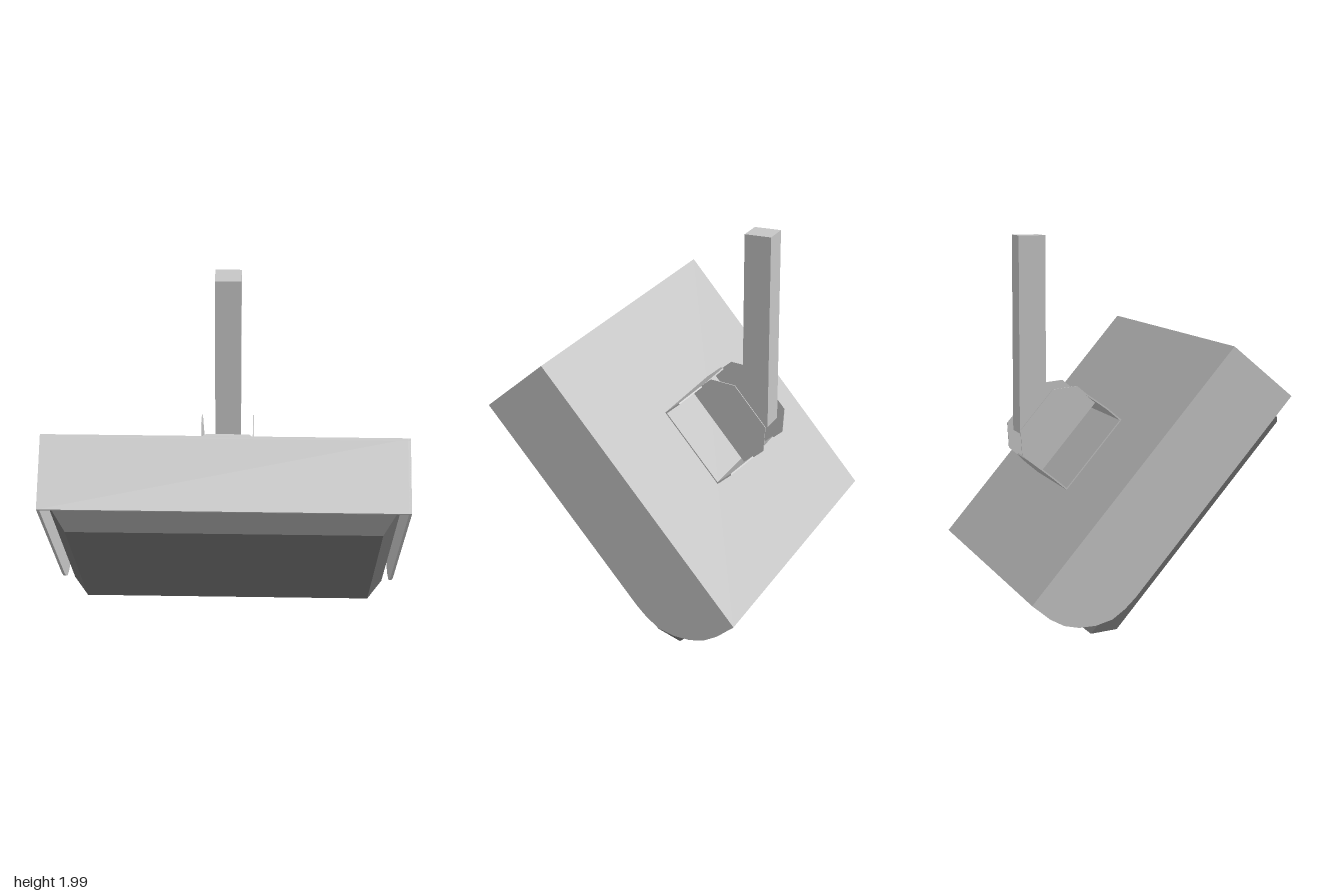
import * as THREE from 'three';

const shellGrey = new THREE.MeshStandardMaterial({ color: 0xc6c6c6 });
shellGrey.name = 'light grey casing';
const bodyGrey = new THREE.MeshStandardMaterial({ color: 0x747474 });
bodyGrey.name = 'dark grey body';

function add(parent, name, geometry, material, x = 0, y = 0, z = 0) {
  const mesh = new THREE.Mesh(geometry, material);
  mesh.name = name;
  mesh.position.set(x, y, z);
  parent.add(mesh);
  return mesh;
}

// Thin plate cut from an outline of [a, b] points, centred on its thickness
function plate(points, thickness) {
  const shape = new THREE.Shape(points.map(([a, b]) => new THREE.Vector2(a, b)));
  return new THREE.ExtrudeGeometry(shape, { depth: thickness, bevelEnabled: false })
    .translate(0, 0, -thickness / 2);
}

// Plate standing in the side plane: outline points are [z, y]
const sidePlate = (points, thickness) => plate(points, thickness).rotateY(-Math.PI / 2);

export function createModel() {
  const model = new THREE.Group();
  model.name = 'tiltedMonitor';

  // Tilted head: origin at its top back edge, y runs up the back, z points out of the screen
  const head = new THREE.Group();
  head.name = 'head';
  head.position.set(0, 1.465, 0.375);
  head.rotation.x = 0.7;
  model.add(head);

  // Casing: back, top and two rounded cheeks, open at the front and bottom
  const W = 0.97, H = 1.654, D = 0.412, T = 0.015;
  add(head, 'backPanel', new THREE.BoxGeometry(2 * W, H, T), shellGrey, 0, -H / 2, T / 2);
  add(head, 'topPanel', new THREE.BoxGeometry(2 * W, T, D), shellGrey, 0, -T / 2, D / 2);
  const cheek = [[0, 0], [D, 0], [D, -1.3], [0.405, -1.38], [0.386, -1.46], [0.335, -1.537],
    [0.27, -1.597], [0.2, -1.635], [0.12, -1.652], [0, -H]];
  for (const s of [-1, 1]) {
    add(head, s > 0 ? 'leftCheek' : 'rightCheek', sidePlate(cheek, T), shellGrey, s * (W - T / 2));
  }

  // Screen body: box whose front end is bevelled on all four sides
  const top = -0.045, bottom = -1.585, mid = 0.36, front = 0.495;
  let body = new THREE.BoxGeometry(2, 2, 2, 1, 1, 2);
  const p = body.attributes.position;
  for (let i = 0; i < p.count; i++) {
    const z = p.getZ(i);
    const isFront = z > 0.5;
    p.setX(i, p.getX(i) * (isFront ? 0.83 : 0.922));
    p.setY(i, p.getY(i) > 0 ? (isFront ? -0.127 : top) : (isFront ? -1.487 : bottom));
    p.setZ(i, isFront ? front : z < -0.5 ? T : mid);
  }
  body = body.toNonIndexed();
  body.computeVertexNormals();
  add(head, 'screenBody', body, bodyGrey);

  // Mount: base plate, two tapered end brackets and a channel that holds the pole
  const mount = new THREE.Group();
  mount.name = 'mount';
  head.add(mount);
  const y0 = -0.59, y1 = -1.07, yc = (y0 + y1) / 2, len = y0 - y1;
  add(mount, 'basePlate', new THREE.BoxGeometry(0.58, len, 0.006), shellGrey, 0, yc, -0.003);

  const bracket = [[-0.29, 0], [0.29, 0], [0.29, 0.105], [0.12, 0.216], [-0.12, 0.216], [-0.29, 0.105]];
  for (const y of [y0 - 0.004, y1 + 0.004]) {
    add(mount, 'endBracket', plate(bracket, 0.008), shellGrey, 0, y).rotation.x = -Math.PI / 2;
  }

  add(mount, 'channelFloor', new THREE.BoxGeometry(0.29, len, 0.006), shellGrey, 0, yc, -0.133);
  const wing = [[-0.133, y0], [-0.27, y0], [-0.366, y0 - 0.1],
    [-0.366, y1 + 0.1], [-0.27, y1], [-0.133, y1]];
  for (const s of [-1, 1]) {
    add(mount, s > 0 ? 'leftWing' : 'rightWing', sidePlate(wing, 0.006), shellGrey, s * 0.145);
  }

  // Upright pole
  const poleBase = 0.93;
  add(model, 'pole', new THREE.BoxGeometry(0.145, 2 - poleBase, 0.148), shellGrey,
    0, (2 + poleBase) / 2, -0.44);

  return model;
}
